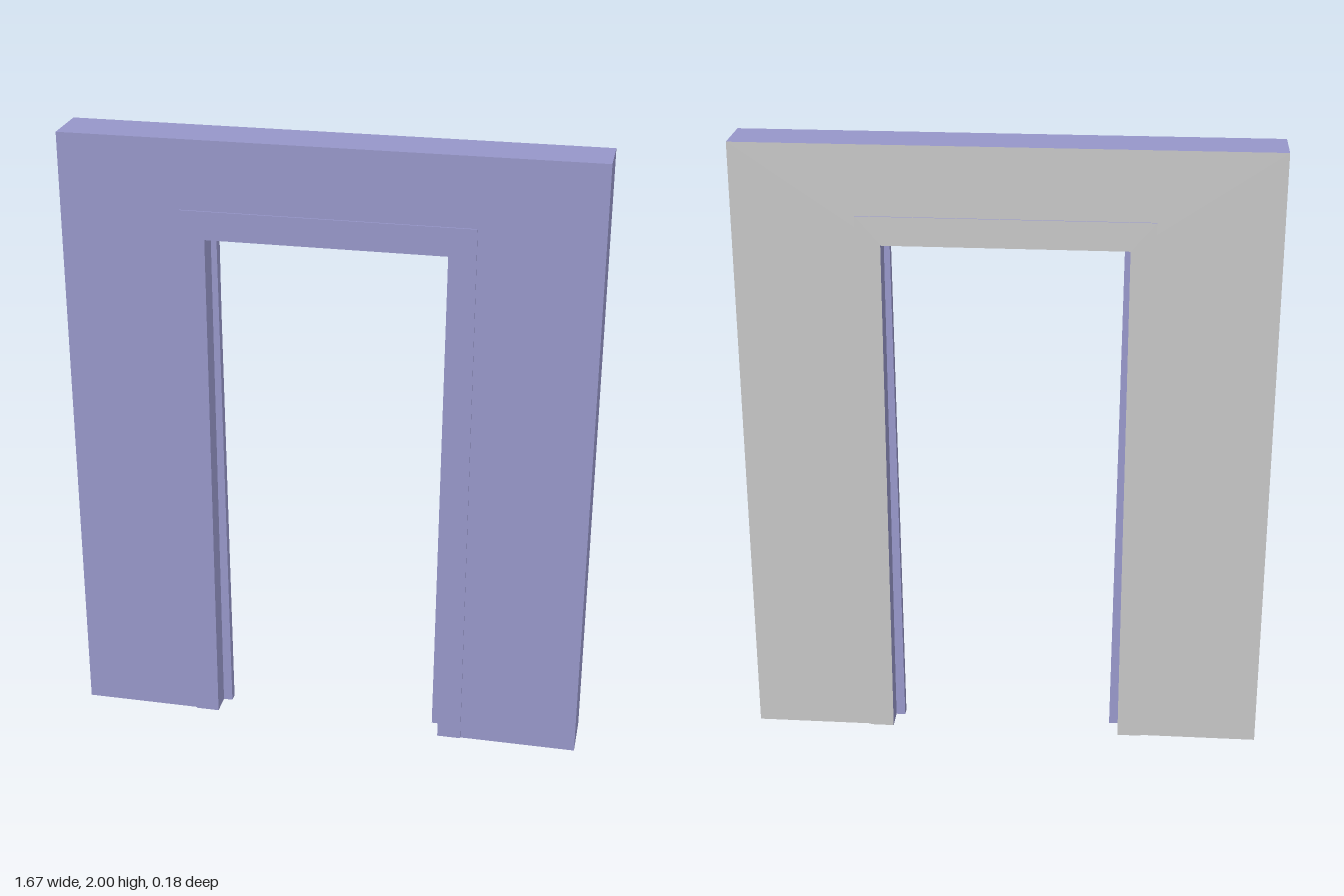
import * as THREE from 'three';

const lavender = new THREE.MeshStandardMaterial({ color: 0x9999cc });
lavender.name = 'lavender paint';
const grey = new THREE.MeshStandardMaterial({ color: 0xc8c8c8 });
grey.name = 'grey paint';

// Door-shaped arch outline; the legs' inner edges may lean in towards the floor
function archShape(outerX, outerY, innerX, innerY, footX = innerX) {
  return new THREE.Shape([
    [-outerX, 0], [-footX, 0], [-innerX, innerY], [innerX, innerY],
    [footX, 0], [outerX, 0], [outerX, outerY], [-outerX, outerY],
  ].map(([x, y]) => new THREE.Vector2(x, y)));
}

// Extrudes an arch from z0 to z1, optionally painting its rear faces grey
function arch(name, shape, z0, z1, greyBack) {
  const geo = new THREE.ExtrudeGeometry(shape, { depth: z1 - z0, bevelEnabled: false });
  geo.translate(0, 0, z0);
  geo.clearGroups();
  const normal = geo.attributes.normal;
  for (let i = 0; i < normal.count; i += 3) {
    geo.addGroup(i, 3, greyBack && normal.getZ(i) < -0.5 ? 1 : 0);
  }
  const mesh = new THREE.Mesh(geo, [lavender, grey]);
  mesh.name = name;
  return mesh;
}

export function createModel() {
  const model = new THREE.Group();
  model.name = 'doorway';

  const wallZ = 0.083, trimZ = 0.088;
  const openX = 0.378, openY = 1.69;

  // Wall with the door opening
  model.add(arch('wall', archShape(0.834, 2, openX, openY), -wallZ, wallZ, true));

  // Thin casing around the opening on both faces
  const casing = archShape(0.455, 1.78, openX, openY);
  model.add(arch('frontCasing', casing, wallZ, trimZ, false));
  model.add(arch('backCasing', casing, -trimZ, -wallZ, true));

  // Narrow door stop around the middle of the reveal, slightly wider at the floor
  model.add(arch('doorStop', archShape(openX, openY, 0.36, 1.676, 0.348), -0.015, 0.015, false));

  return model;
}
